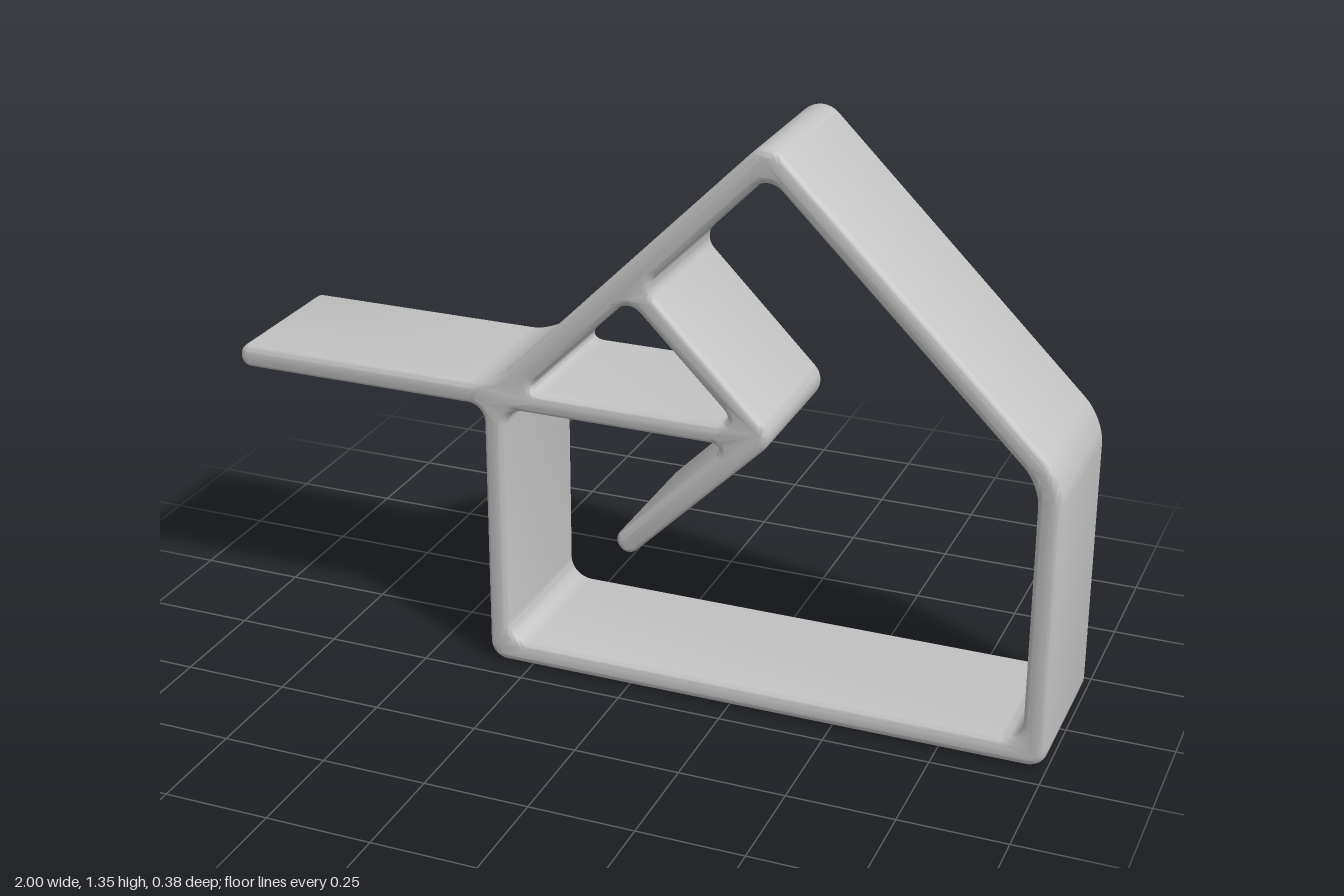
import * as THREE from 'three';
import { toCreasedNormals } from 'three/addons/utils/BufferGeometryUtils.js';

// Closed polygon with rounded corners; each point is [x, y, rounding]
function roundedLoop(path, points) {
  const corners = points.map(([x, y]) => new THREE.Vector2(x, y));
  const n = points.length;
  corners.forEach((corner, i) => {
    const d = points[i][2];
    const toward = (other, k) =>
      corner.clone().add(other.clone().sub(corner).normalize().multiplyScalar(k));
    const prev = corners[(i + n - 1) % n], next = corners[(i + 1) % n];
    const a = toward(prev, d), b = toward(next, d);
    const c1 = toward(prev, d * 0.45), c2 = toward(next, d * 0.45);
    if (i === 0) path.moveTo(a.x, a.y);
    else path.lineTo(a.x, a.y);
    path.bezierCurveTo(c1.x, c1.y, c2.x, c2.y, b.x, b.y);
  });
  path.closePath();
  return path;
}

export function createModel() {
  const group = new THREE.Group();
  group.name = 'houseShelfModel';
  const grey = new THREE.MeshStandardMaterial({ color: 0xc4c4c4 });
  grey.name = 'light grey';

  // Outer silhouette: floor, right wall, gable roof, long side shelf, left wall
  const outline = roundedLoop(new THREE.Shape(), [
    [-0.36, 0.003, 0.045], [0.998, 0.003, 0.045], [0.998, 0.705, 0.06],
    [0.32, 1.378, 0.055], [-0.34, 0.715, 0.06],
    [-1, 0.715, 0.026], [-1, 0.658, 0.026], [-0.36, 0.658, 0.04],
  ]);

  // Main opening, wrapping round the hooked inner shelf
  outline.holes.push(roundedLoop(new THREE.Path(), [
    [-0.305, 0.06, 0.05], [-0.305, 0.657, 0.04], [0.235, 0.657, 0.04],
    [-0.042, 0.377, 0.026], [-0.002, 0.337, 0.026], [0.355, 0.692, 0.05],
    [0.04, 1.01, 0.04], [0.32, 1.296, 0.045], [0.94, 0.685, 0.05],
    [0.94, 0.06, 0.05],
  ]));

  // Small triangular opening under the roof
  outline.holes.push(roundedLoop(new THREE.Path(), [
    [-0.26, 0.71, 0.05], [0.26, 0.71, 0.05], [0, 0.97, 0.04],
  ]));

  // Planks with softly rounded front and back edges
  const bevel = 0.019, width = 0.38;
  const geometry = new THREE.ExtrudeGeometry(outline, {
    depth: width - 2 * bevel, curveSegments: 8,
    bevelEnabled: true, bevelThickness: bevel, bevelSize: bevel,
    bevelOffset: -bevel, bevelSegments: 5,
  });
  geometry.translate(0, 0, bevel - width / 2);
  const frame = new THREE.Mesh(toCreasedNormals(geometry, 0.8), grey);
  frame.name = 'houseShelfFrame';
  group.add(frame);
  return group;
}
